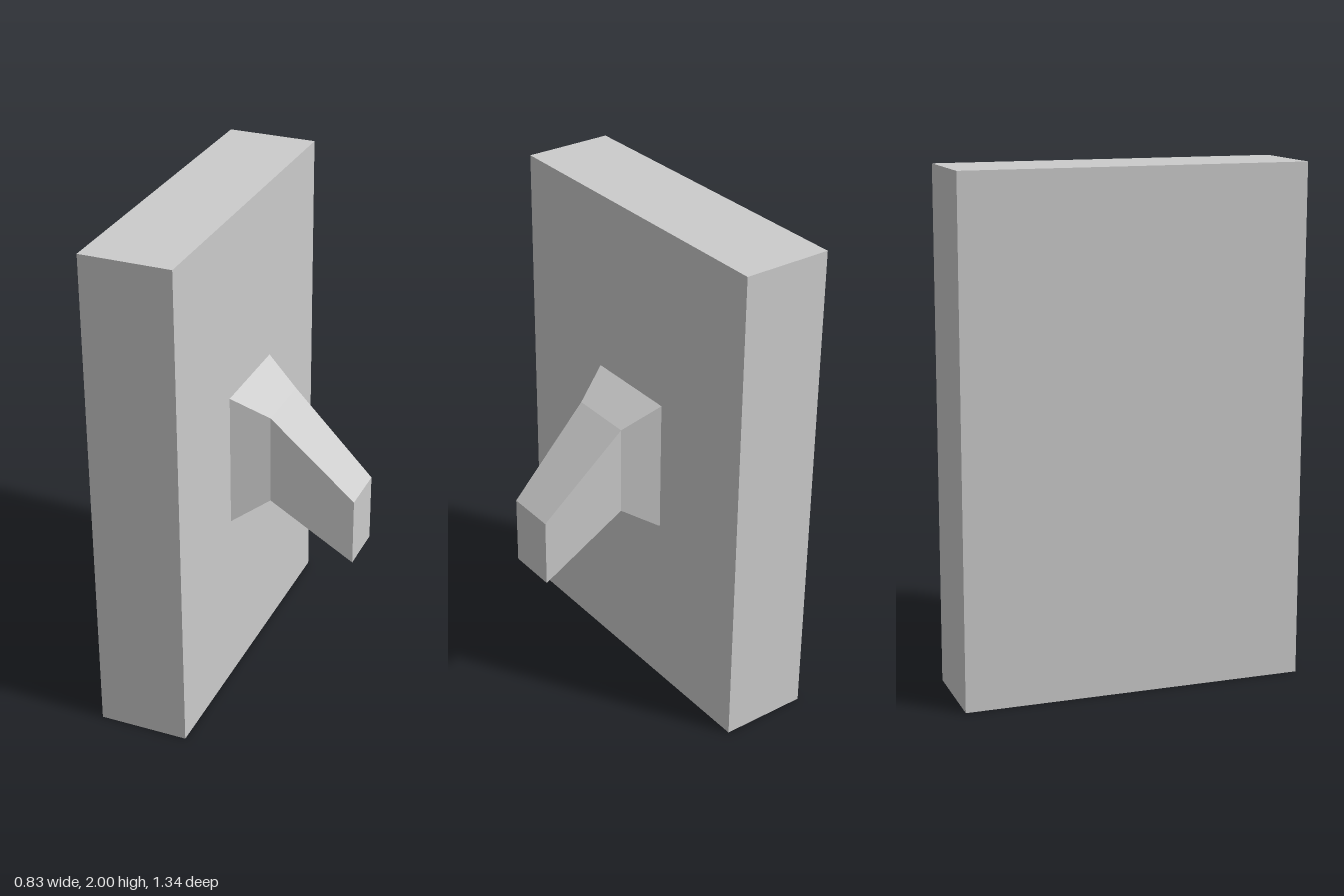
import * as THREE from 'three';

const material = new THREE.MeshStandardMaterial({ color: 0xcccccc, flatShading: true });

// Lever cross-sections from the plate outwards: x, bottom, top, half width
const SECTIONS = [
  [-0.058, 0.73, 1.275, 0.2],
  [0.082, 0.82, 1.185, 0.133],
  [0.415, 0.595, 0.87, 0.102],
];

// Box with one slice per cross-section, each slice moved onto its rectangle
function loftBox(sections) {
  const spans = sections.length - 1;
  const geometry = new THREE.BoxGeometry(spans, 1, 1, spans, 1, 1);
  const p = geometry.attributes.position;
  for (let i = 0; i < p.count; i++) {
    const [x, bottom, top, half] = sections[Math.round(p.getX(i) + spans / 2)];
    p.setXYZ(i, x, p.getY(i) > 0 ? top : bottom, Math.sign(p.getZ(i)) * half);
  }
  geometry.computeVertexNormals();
  return geometry;
}

export function createModel() {
  const model = new THREE.Group();
  model.name = 'wallSwitch';

  // Flat wall plate
  const plate = new THREE.Mesh(new THREE.BoxGeometry(0.36, 2, 1.342), material);
  plate.name = 'plate';
  plate.position.set(-0.238, 1, 0);
  model.add(plate);

  // Flared base bending down into the tapered toggle
  const lever = new THREE.Mesh(loftBox(SECTIONS), material);
  lever.name = 'toggleLever';
  model.add(lever);

  return model;
}
